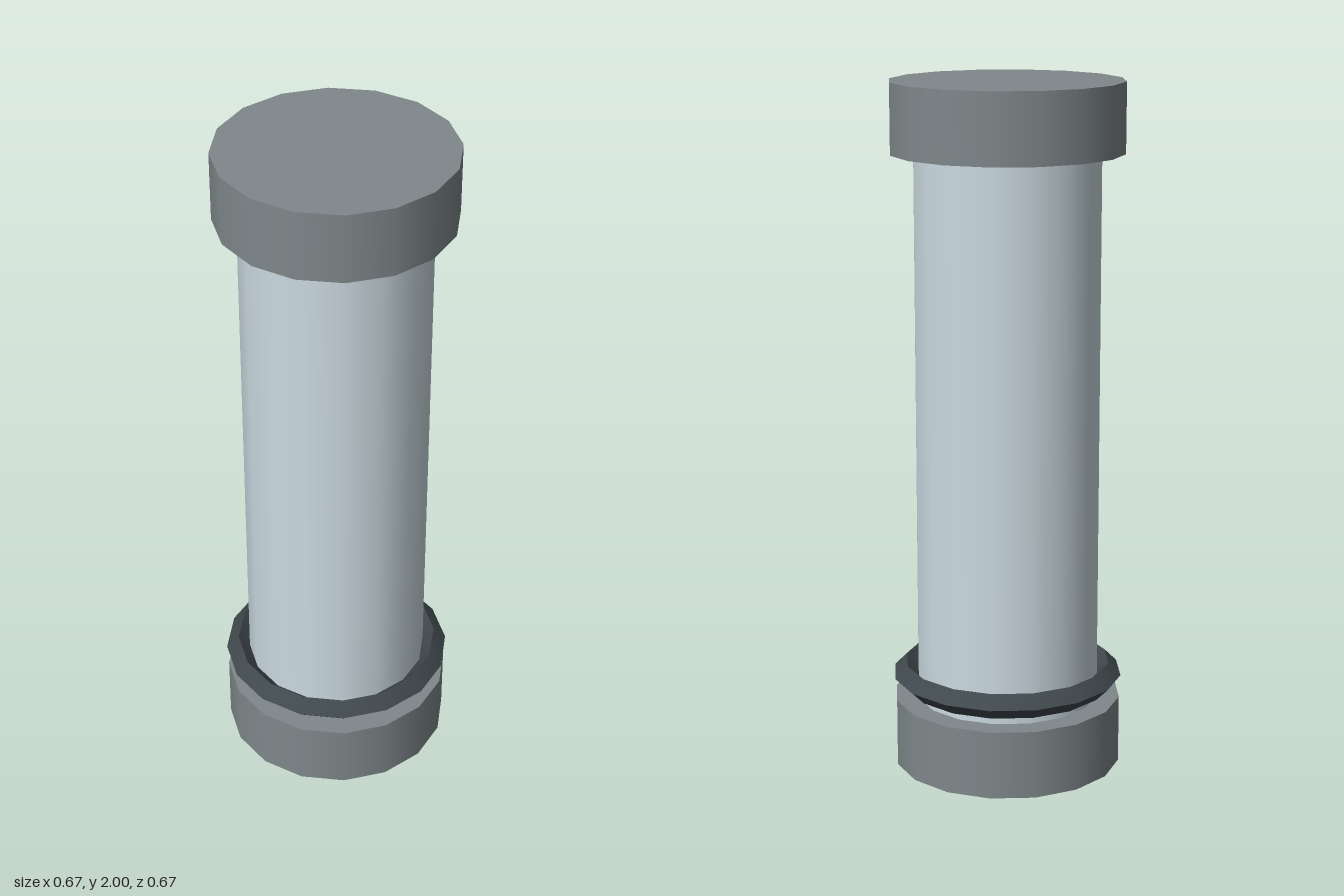
import * as THREE from 'three';
import { toCreasedNormals } from 'three/addons/utils/BufferGeometryUtils.js';

const SIDES = 16;

export function createModel() {
  const group = new THREE.Group();
  const material = (name, color) => {
    const m = new THREE.MeshStandardMaterial({ color });
    m.name = name;
    return m;
  };
  const capGrey = material('capGrey', 0x7f888b);
  const paleGlass = material('paleGlass', 0xcbdae1);
  const darkRubber = material('darkRubber', 0x3f484c);

  const add = (name, geometry, mat, y) => {
    const mesh = new THREE.Mesh(geometry, mat);
    mesh.name = name;
    mesh.position.y = y;
    group.add(mesh);
  };

  // End caps
  const cap = new THREE.CylinderGeometry(0.333, 0.333, 0.2, SIDES);
  add('bottomCap', cap, capGrey, 0.1);
  add('topCap', cap, capGrey, 1.9);

  // Body between the caps
  add('body', new THREE.CylinderGeometry(0.267, 0.267, 1.6, SIDES), paleGlass, 1);

  // Diamond-section ring, smooth around and sharp along its rims
  const ring = new THREE.TorusGeometry(0.3, 0.037, 4, SIDES).rotateX(Math.PI / 2);
  add('sealRing', toCreasedNormals(ring, 0.6), darkRubber, 0.267);

  return group;
}
